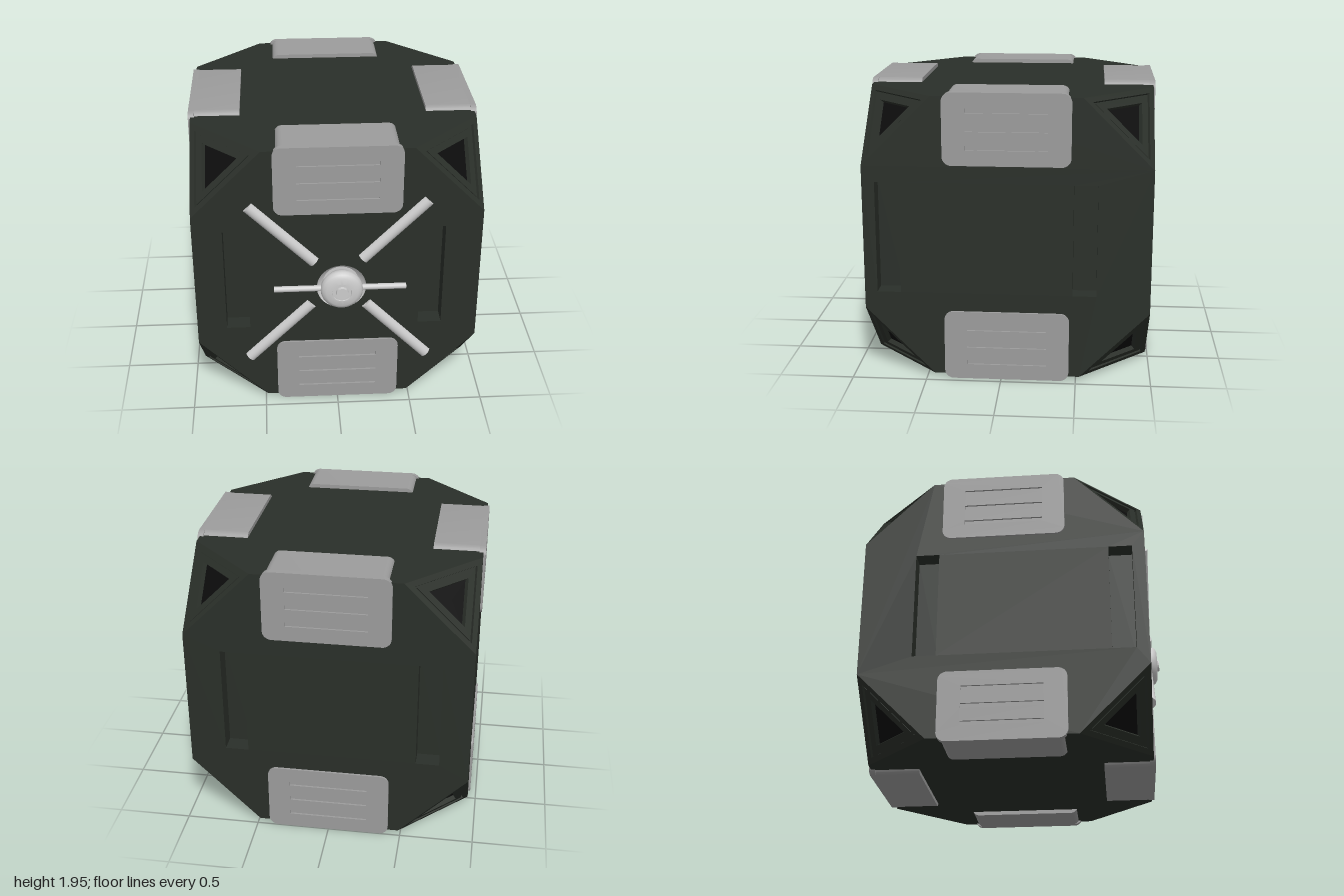
import * as THREE from 'three';
import { toCreasedNormals } from 'three/addons/utils/BufferGeometryUtils.js';

const H = 0.945;   // half size of the cube body
const CUT = 0.46;  // length cut off each edge at the corners
const bodyMat = new THREE.MeshStandardMaterial({ color: 0x2a2f29, flatShading: true });
const blackMat = new THREE.MeshStandardMaterial({ color: 0x0c0c0c, flatShading: true });
const padMat = new THREE.MeshStandardMaterial({ color: 0x9c9c9c });
const metalMat = new THREE.MeshStandardMaterial({ color: 0xcccccc });
const bowlMat = new THREE.MeshStandardMaterial({ color: 0xcccccc, side: THREE.DoubleSide });

function add(parent, name, geo, mat, x = 0, y = 0, z = 0) {
  const mesh = new THREE.Mesh(geo, mat);
  mesh.name = name;
  mesh.position.set(x, y, z);
  parent.add(mesh);
  return mesh;
}

const points = (list) => list.map(([x, y]) => new THREE.Vector2(x, y));

function rectPath(x, y, w, h) {
  const a = w / 2, b = h / 2;
  return new THREE.Path(points([[x - a, y - b], [x - a, y + b], [x + a, y + b], [x + a, y - b]]));
}

function roundedRect(w, h, r) {
  const a = w / 2 - r, b = h / 2 - r;
  const s = new THREE.Shape();
  s.absarc(a, b, r, 0, Math.PI / 2);
  s.absarc(-a, b, r, Math.PI / 2, Math.PI);
  s.absarc(-a, -b, r, Math.PI, Math.PI * 1.5);
  s.absarc(a, -b, r, Math.PI * 1.5, Math.PI * 2);
  s.closePath();
  return s;
}

function octagon() {
  const c = H - CUT;
  return new THREE.Shape(points([[c, -H], [H, -c], [H, c], [c, H], [-c, H], [-H, c], [-H, -c], [-c, -H]]));
}

// Box open towards +z whose walls face inwards
function pocketGeometry(w, h, d) {
  const geo = new THREE.BoxGeometry(w, h, d);
  const index = [...geo.index.array];
  index.splice(24, 6);
  geo.setIndex(index.reverse());
  const normals = geo.attributes.normal.array;
  normals.forEach((v, i) => { normals[i] = -v; });
  return geo;
}

// Lathe turned so that its axis points to +z
function latheZ(profile, segments) {
  const geo = new THREE.LatheGeometry(points(profile), segments).rotateX(Math.PI / 2);
  return toCreasedNormals(geo, 0.6);
}

function rod(parent, name, from, to, r, z) {
  const dx = to[0] - from[0], dy = to[1] - from[1];
  const geo = new THREE.CylinderGeometry(r, r, Math.hypot(dx, dy), 24);
  const mesh = add(parent, name, geo, metalMat, (from[0] + to[0]) / 2, (from[1] + to[1]) / 2, z);
  mesh.rotation.z = Math.atan2(dy, dx) - Math.PI / 2;
}

// Edge pad: slotted face plate plus the block that wraps over the cube edge
function makePad() {
  const pad = new THREE.Group();
  pad.name = 'edgePad';
  const plate = roundedRect(0.83, 0.475, 0.06);
  for (const y of [-0.12, 0, 0.12]) plate.holes.push(rectPath(0, y, 0.53, 0.03));
  const plateGeo = new THREE.ExtrudeGeometry(plate, { depth: 0.04, bevelEnabled: false, curveSegments: 8 });
  add(pad, 'padPlate', toCreasedNormals(plateGeo, 0.6), padMat, 0, 0, H - 0.025);
  const block = roundedRect(0.79, 0.475, 0.05);
  const blockGeo = new THREE.ExtrudeGeometry(block, { depth: 0.327, bevelEnabled: false, curveSegments: 8 });
  add(pad, 'padBlock', toCreasedNormals(blockGeo, 0.6), padMat, 0, 0, H - 0.325);
  return pad;
}

// Crank wheel in the front: socket, hub, thin crossbar and four diagonal rods
function makeHandle(cx, cy) {
  const handle = new THREE.Group();
  handle.name = 'handle';
  handle.position.set(cx, cy, H);
  add(handle, 'socket', latheZ([[0.165, 0], [0.155, -0.03], [0.12, -0.06], [0, -0.06]], 40), bowlMat);
  add(handle, 'hub', latheZ([[0.1, -0.06], [0.125, -0.01], [0.14, 0.015], [0.14, 0.04], [0.128, 0.06],
    [0.105, 0.073], [0.065, 0.077], [0.063, 0.07], [0.042, 0.07], [0.04, 0.09], [0, 0.09]], 40), metalMat);
  rod(handle, 'crossbar', [-0.45, 0], [0.43, 0], 0.02, 0.01);
  rod(handle, 'diagonalRod', [-0.605, 0.625], [-0.18, 0.2], 0.04, -0.01);
  rod(handle, 'diagonalRod', [0.56, 0.64], [0.14, 0.215], 0.04, -0.01);
  rod(handle, 'diagonalRod', [-0.625, -0.55], [-0.2, -0.125], 0.04, -0.01);
  rod(handle, 'diagonalRod', [0.585, -0.565], [0.165, -0.135], 0.04, -0.01);
  return handle;
}

// Stepped triangular panel closing a cut corner
function makeCorner(sx, sy, sz) {
  const corner = new THREE.Group();
  corner.name = 'cornerPanel';
  const R = CUT * Math.sqrt(6) / 3;
  const frame = [[1, 0], [0.8, 0], [0.8, -0.02], [0.74, -0.02], [0.74, -0.008], [0.5, -0.008], [0.49, -0.04]];
  add(corner, 'cornerFrame', new THREE.LatheGeometry(points(frame.map(([r, y]) => [r * R, y])), 3), bodyMat);
  add(corner, 'cornerRecess', new THREE.LatheGeometry(points([[0.49 * R, -0.04], [0, -0.04]]), 3), blackMat);
  const up = new THREE.Vector3(sx, sy, sz).normalize();
  const out = new THREE.Vector3(-2 * sx, sy, sz).normalize();
  const side = new THREE.Vector3().crossVectors(up, out);
  corner.quaternion.setFromRotationMatrix(new THREE.Matrix4().makeBasis(side, up, out));
  corner.position.set(sx, sy, sz).multiplyScalar(H - CUT / 3);
  return corner;
}

export function createModel() {
  const model = new THREE.Group();
  model.name = 'crate';
  const body = new THREE.Group();
  body.name = 'body';
  body.position.set(0, 0.9725, -0.0375);
  model.add(body);

  // Four upright sides, each with two tall pockets and two edge pads
  const pocketX = [[-0.67, 0.625], [-0.7825, 0.5125]];
  const hubX = 0.025, hubY = -0.0675, pocketDepth = 0.12;
  for (let k = 0; k < 4; k++) {
    const side = new THREE.Group();
    side.name = ['frontSide', 'leftSide', 'backSide', 'rightSide'][k];
    side.rotation.y = k * Math.PI / 2;
    body.add(side);
    const face = octagon();
    for (const px of pocketX[k % 2]) {
      const x = k < 2 ? px : -px;
      face.holes.push(rectPath(x, 0.0025, 0.157, 0.75));
      add(side, 'pocket', pocketGeometry(0.157, 0.75, pocketDepth), bodyMat, x, 0.0025, H - pocketDepth / 2);
    }
    if (k === 0) {
      face.holes.push(new THREE.Path().absarc(hubX, hubY, 0.165, 0, Math.PI * 2, true));
      side.add(makeHandle(hubX, hubY));
    }
    add(side, 'sidePanel', new THREE.ShapeGeometry(face, 20), bodyMat, 0, 0, H);
    for (const s of [1, -1]) {
      const pad = makePad();
      pad.position.y = s * 0.735;
      side.add(pad);
    }
  }

  // Plain top and bottom
  for (const s of [1, -1]) {
    const panel = add(body, s > 0 ? 'topPanel' : 'bottomPanel', new THREE.ShapeGeometry(octagon()), bodyMat, 0, s * H, 0);
    panel.rotation.x = -s * Math.PI / 2;
  }

  // Eight cut corners
  for (const sx of [1, -1]) for (const sy of [1, -1]) for (const sz of [1, -1]) body.add(makeCorner(sx, sy, sz));
  return model;
}
